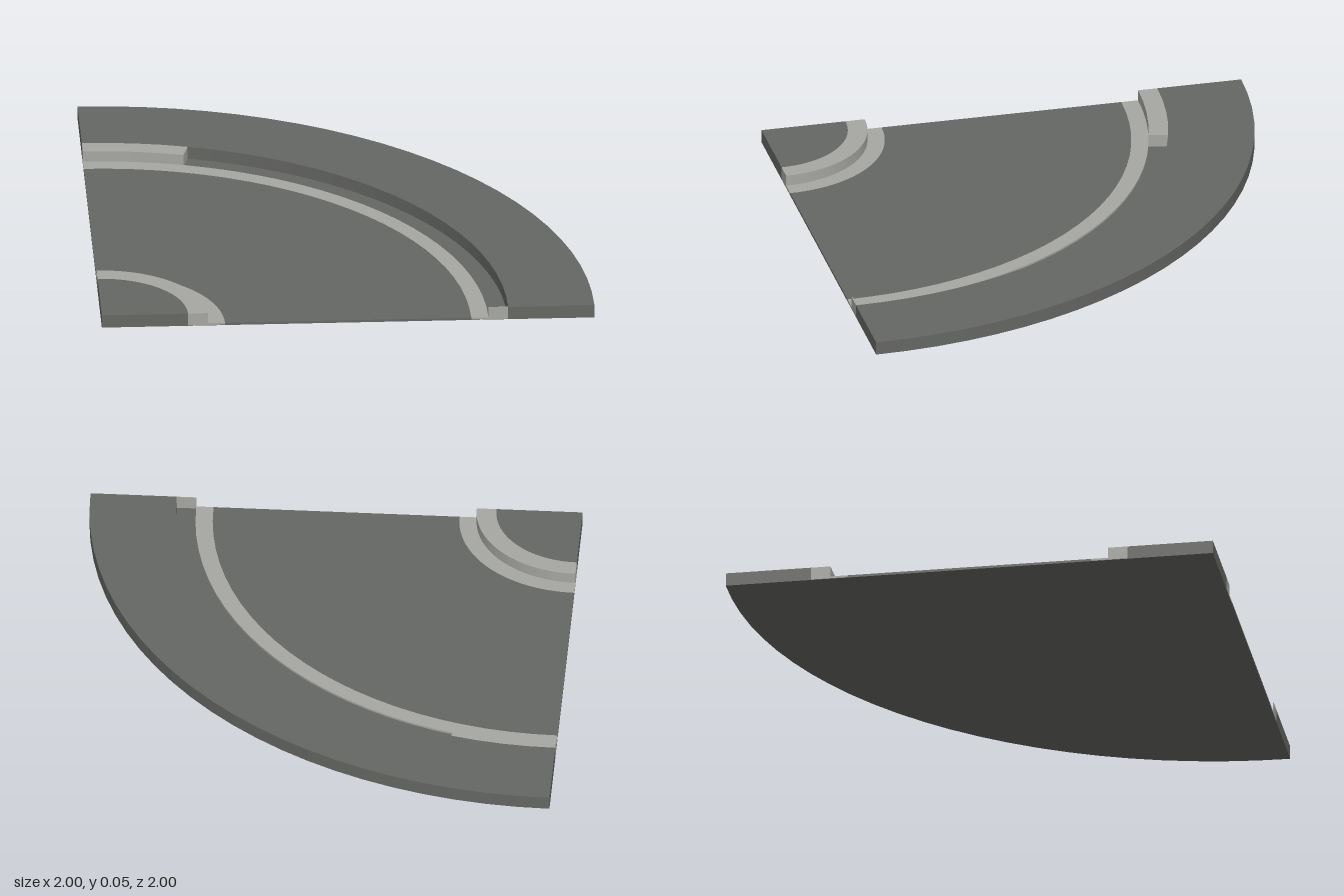
import * as THREE from 'three';

const asphalt = new THREE.MeshStandardMaterial({ color: 0x656763 });
asphalt.name = 'darkGrey';
const concrete = new THREE.MeshStandardMaterial({ color: 0xa6a7a2 });
concrete.name = 'lightGrey';

const QUARTER = Math.PI / 2;
const SEGMENTS = 24;

// Slab shaped as a ring sector around the corner (-1, 1); angle 0 is the front edge
function sector(name, material, r0, r1, y0, y1, a0 = 0, a1 = QUARTER) {
  const n = Math.max(1, Math.round(SEGMENTS * (a1 - a0) / QUARTER));
  const points = [];
  const at = (r, a) => new THREE.Vector2(-1 + r * Math.cos(a), -1 + r * Math.sin(a));
  for (let i = 0; i <= n; i++) points.push(at(r1, a0 + (a1 - a0) * i / n));
  if (r0 === 0) points.push(at(0, 0));
  else for (let i = n; i >= 0; i--) points.push(at(r0, a0 + (a1 - a0) * i / n));
  const geometry = new THREE.ExtrudeGeometry(new THREE.Shape(points), { depth: y1 - y0, bevelEnabled: false });
  geometry.rotateX(-Math.PI / 2);
  geometry.translate(0, y0, 0);
  const mesh = new THREE.Mesh(geometry, material);
  mesh.name = name;
  return mesh;
}

export function createModel() {
  const group = new THREE.Group();
  group.name = 'curvedRoadTile';
  const base = 0.002, road = 0.01, top = 0.055;

  group.add(
    sector('base', asphalt, 0, 2, 0, base),
    // Inner corner pavement and its kerb
    sector('innerPavement', asphalt, 0, 0.35, base, top),
    sector('innerKerb', concrete, 0.35, 0.43, base, top),
    // Roadway between two pale edge strips
    sector('innerEdgeStrip', concrete, 0.43, 0.5, base, road),
    sector('roadway', asphalt, 0.5, 1.5, base, road),
    sector('outerEdgeStrip', concrete, 1.5, 1.57, base, road),
    // Outer kerb: a short run at the back and a thin end plate at the front, open between
    sector('outerKerb', concrete, 1.57, 1.65, base, top, QUARTER * 5 / 6, QUARTER),
    sector('outerKerbEnd', concrete, 1.57, 1.65, base, top, 0, 0.002),
    sector('outerPavement', asphalt, 1.65, 2, base, top)
  );
  return group;
}
